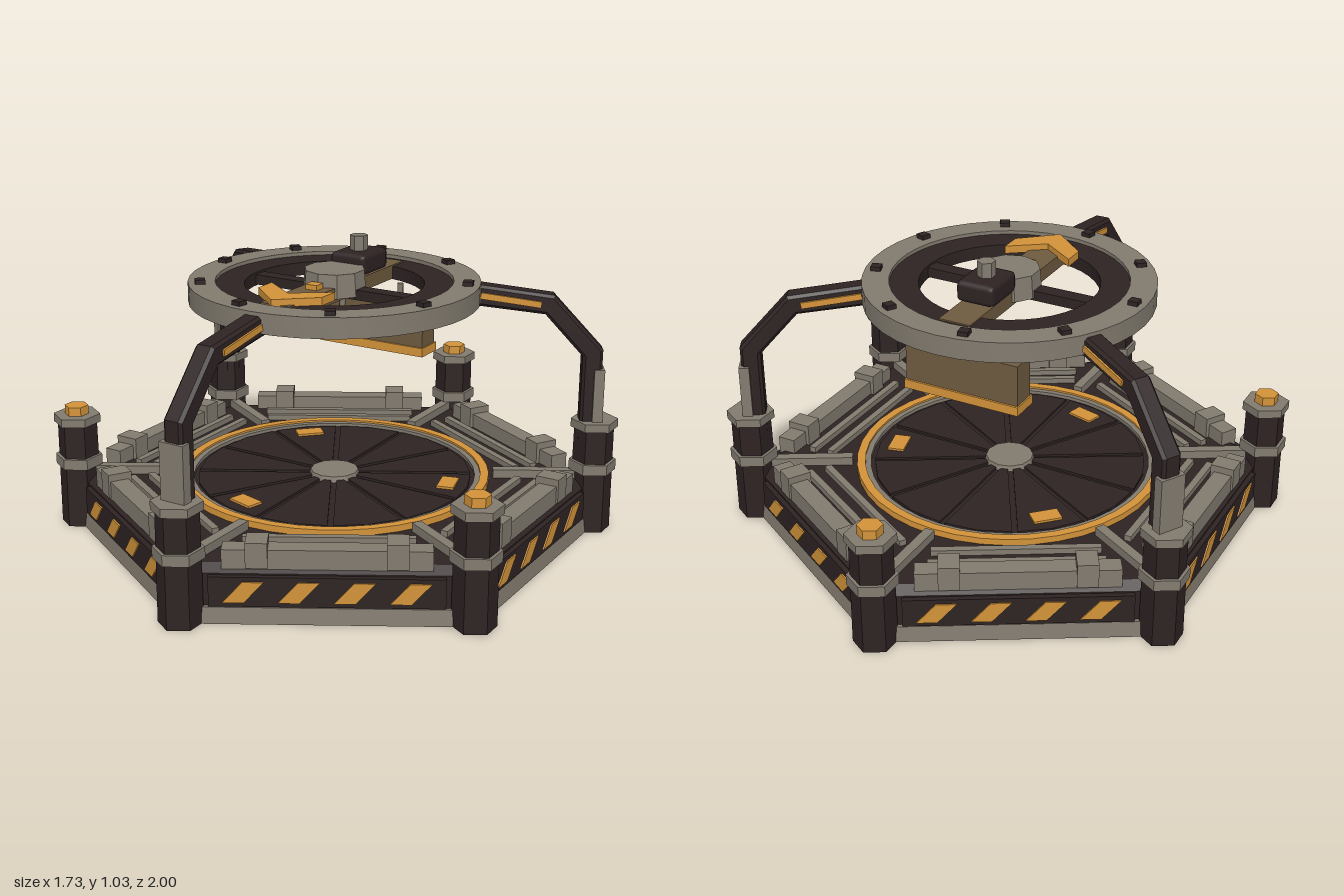
import * as THREE from 'three';
import { toCreasedNormals } from 'three/addons/utils/BufferGeometryUtils.js';
import { RoundedBoxGeometry } from 'three/addons/geometries/RoundedBoxGeometry.js';

const material = (name, color) => {
  const m = new THREE.MeshStandardMaterial({ color });
  m.name = name;
  return m;
};

export function createModel() {
  const dark = material('dark iron', 0x2e2323);
  const grey = material('grey steel', 0x827b6f);
  const yellow = material('hazard yellow', 0xd4943a);
  const bronze = material('dull bronze', 0x6e5b40);
  const model = new THREE.Group();
  model.name = 'hexagonalPlatform';

  const add = (parent, name, geo, mat, x = 0, y = 0, z = 0) => {
    const mesh = new THREE.Mesh(geo, mat);
    mesh.name = name;
    mesh.position.set(x, y, z);
    parent.add(mesh);
    return mesh;
  };
  const box = (parent, name, mat, w, h, d, x, y, z) =>
    add(parent, name, new THREE.BoxGeometry(w, h, d), mat, x, y, z);
  // Upright prism between two heights
  const prism = (parent, name, mat, sides, rTop, rBottom, y0, y1, z = 0) =>
    add(parent, name, new THREE.CylinderGeometry(rTop, rBottom, y1 - y0, sides).toNonIndexed(), mat, 0, (y0 + y1) / 2, z)
      .geometry.computeVertexNormals();
  const polygon = (pts) => new THREE.Shape(pts.map(([x, y]) => new THREE.Vector2(x, y)));
  // Flat annulus lying in the ground plane
  const ring = (parent, name, mat, outer, inner, y0, y1) => {
    const shape = new THREE.Shape().absarc(0, 0, outer, 0, Math.PI * 2);
    shape.holes.push(new THREE.Path().absarc(0, 0, inner, 0, Math.PI * 2, true));
    const geo = new THREE.ExtrudeGeometry(shape, { depth: y1 - y0, bevelEnabled: false, curveSegments: 20 });
    geo.rotateX(-Math.PI / 2);
    return add(parent, name, toCreasedNormals(geo, 0.5), mat, 0, y0, 0);
  };
  const sector = (name, angle) => {
    const g = new THREE.Group();
    g.name = name;
    g.rotation.y = angle;
    model.add(g);
    return g;
  };

  // Hexagonal base
  prism(model, 'baseSlab', grey, 6, 0.925, 0.932, 0, 0.055);
  prism(model, 'baseBody', dark, 6, 0.91, 0.91, 0.055, 0.165);
  prism(model, 'deck', dark, 6, 0.87, 0.91, 0.165, 0.187);

  // Six sides: hazard panel, rail with clamps, deck slats
  const stripe = new THREE.ExtrudeGeometry(
    polygon([[-0.065, 0.075], [0.002, 0.075], [0.065, 0.145], [-0.002, 0.145]]),
    { depth: 0.006, bevelEnabled: false });
  for (let i = 0; i < 6; i++) {
    const side = sector('side', Math.PI / 6 + i * Math.PI / 3);
    box(side, 'hazardPanel', dark, 0.74, 0.1, 0.03, 0, 0.11, 0.791);
    for (let k = 0; k < 4; k++) add(side, 'hazardStripe', stripe, yellow, (k - 1.5) * 0.174, 0, 0.805);
    box(side, 'rail', grey, 0.66, 0.065, 0.065, 0, 0.2075, 0.745);
    for (const s of [-1, 1]) box(side, 'railClamp', grey, 0.07, 0.085, 0.085, s * 0.22, 0.2225, 0.742);
    box(side, 'outerSlat', grey, 0.58, 0.025, 0.025, 0, 0.195, 0.66);
    box(side, 'innerSlat', grey, 0.56, 0.025, 0.025, 0, 0.195, 0.59);
  }

  // Arm profile: x is the distance from the centre
  const armGeo = new THREE.ExtrudeGeometry(
    polygon([[0.86, 0.34], [0.93, 0.34], [0.93, 0.67], [0.755, 0.862], [0.43, 0.907],
      [0.43, 0.832], [0.725, 0.795], [0.86, 0.645]]),
    { depth: 0.05, bevelEnabled: true, bevelSegments: 1, bevelSize: 0.01, bevelThickness: 0.01, bevelOffset: -0.01 });
  armGeo.translate(0, 0, -0.025).rotateY(-Math.PI / 2);

  // Six corner posts, every other one carrying an arm
  for (let i = 0; i < 6; i++) {
    const corner = sector('corner', i * Math.PI / 3);
    const r = 0.917;
    prism(corner, 'post', dark, 6, 0.07, 0.073, 0, 0.385, r);
    prism(corner, 'postCollar', grey, 6, 0.083, 0.083, 0.22, 0.258, r);
    prism(corner, 'postCap', grey, 6, 0.083, 0.083, 0.38, 0.41, r);
    box(corner, 'cornerSpoke', grey, 0.035, 0.035, 0.29, 0, 0.2, 0.71);
    if (i % 2) {
      prism(corner, 'postLamp', yellow, 6, 0.042, 0.042, 0.41, 0.442, r);
    } else {
      add(corner, 'arm', armGeo, dark);
      box(corner, 'armSocket', grey, 0.09, 0.19, 0.036, 0, 0.505, 0.92);
      const trim = box(corner, 'armTrim', yellow, 0.084, 0.022, 0.21, 0, 0.847, 0.605);
      trim.rotation.x = 0.15;
    }
  }

  // Round floor with wedge plates
  ring(model, 'floorRing', yellow, 0.55, 0.52, 0.18, 0.21);
  ring(model, 'floorInnerRing', grey, 0.52, 0.5, 0.18, 0.203);
  prism(model, 'floorDisc', dark, 40, 0.5, 0.5, 0.18, 0.19);
  const a = Math.PI / 12 - 0.02;
  const wedge = new THREE.ExtrudeGeometry(
    polygon([[0.08, -0.012], [0.485 * Math.cos(a), -0.485 * Math.sin(a)], [0.487, 0],
      [0.485 * Math.cos(a), 0.485 * Math.sin(a)], [0.08, 0.012]]),
    { depth: 0.008, bevelEnabled: false });
  wedge.rotateX(-Math.PI / 2);
  for (let i = 0; i < 12; i++) {
    add(model, 'floorWedge', wedge, dark, 0, 0.19, 0).rotation.y = (i + 0.5) * Math.PI / 6;
  }
  prism(model, 'floorHub', grey, 12, 0.085, 0.09, 0.19, 0.21);
  for (let i = 0; i < 3; i++) {
    const g = sector('floorMarker', THREE.MathUtils.degToRad(105 + i * 120));
    box(g, 'markerPlate', yellow, 0.1, 0.008, 0.06, 0, 0.202, 0.415);
  }

  // Overhead ring with nine bolts
  ring(model, 'overheadRing', grey, 0.503, 0.41, 0.84, 0.91);
  ring(model, 'overheadInnerRing', dark, 0.412, 0.31, 0.85, 0.897);
  for (let i = 0; i < 9; i++) {
    const g = sector('ringBolt', -Math.PI / 2 + i * Math.PI * 2 / 9);
    box(g, 'bolt', dark, 0.035, 0.02, 0.035, 0, 0.915, 0.462);
  }
  box(model, 'crossSpoke', dark, 0.66, 0.035, 0.055, 0, 0.872, 0.003);
  box(model, 'centreBeam', bronze, 0.115, 0.05, 0.75, 0, 0.877, -0.005);
  prism(model, 'hub', grey, 10, 0.105, 0.112, 0.865, 0.947);

  // Chevron pointer and marker
  const chevron = new THREE.ExtrudeGeometry(
    polygon([[-0.125, 0.2], [0, 0.29], [0.125, 0.2], [0.125, 0.28], [0, 0.39], [-0.125, 0.28]]),
    { depth: 0.028, bevelEnabled: false });
  chevron.rotateX(Math.PI / 2);
  add(model, 'chevron', chevron, yellow, 0, 0.923, 0);
  box(model, 'pointerMarker', yellow, 0.045, 0.02, 0.04, 0, 0.91, 0.13);

  // Motor on top of the hub
  add(model, 'motor', new RoundedBoxGeometry(0.14, 0.075, 0.17, 1, 0.018), dark, 0, 0.943, -0.165);
  prism(model, 'motorNub', grey, 6, 0.031, 0.031, 0.97, 1.033, -0.163);

  // Hanging counterweight
  box(model, 'counterweight', bronze, 0.42, 0.16, 0.09, 0, 0.693, -0.298);
  box(model, 'counterweightBase', yellow, 0.43, 0.032, 0.105, 0, 0.612, -0.298);
  for (const s of [-1, 1]) {
    add(model, 'hangerRod', new THREE.CylinderGeometry(0.011, 0.011, 0.18, 8), grey, s * 0.12, 0.765, -0.25);
  }
  return model;
}
